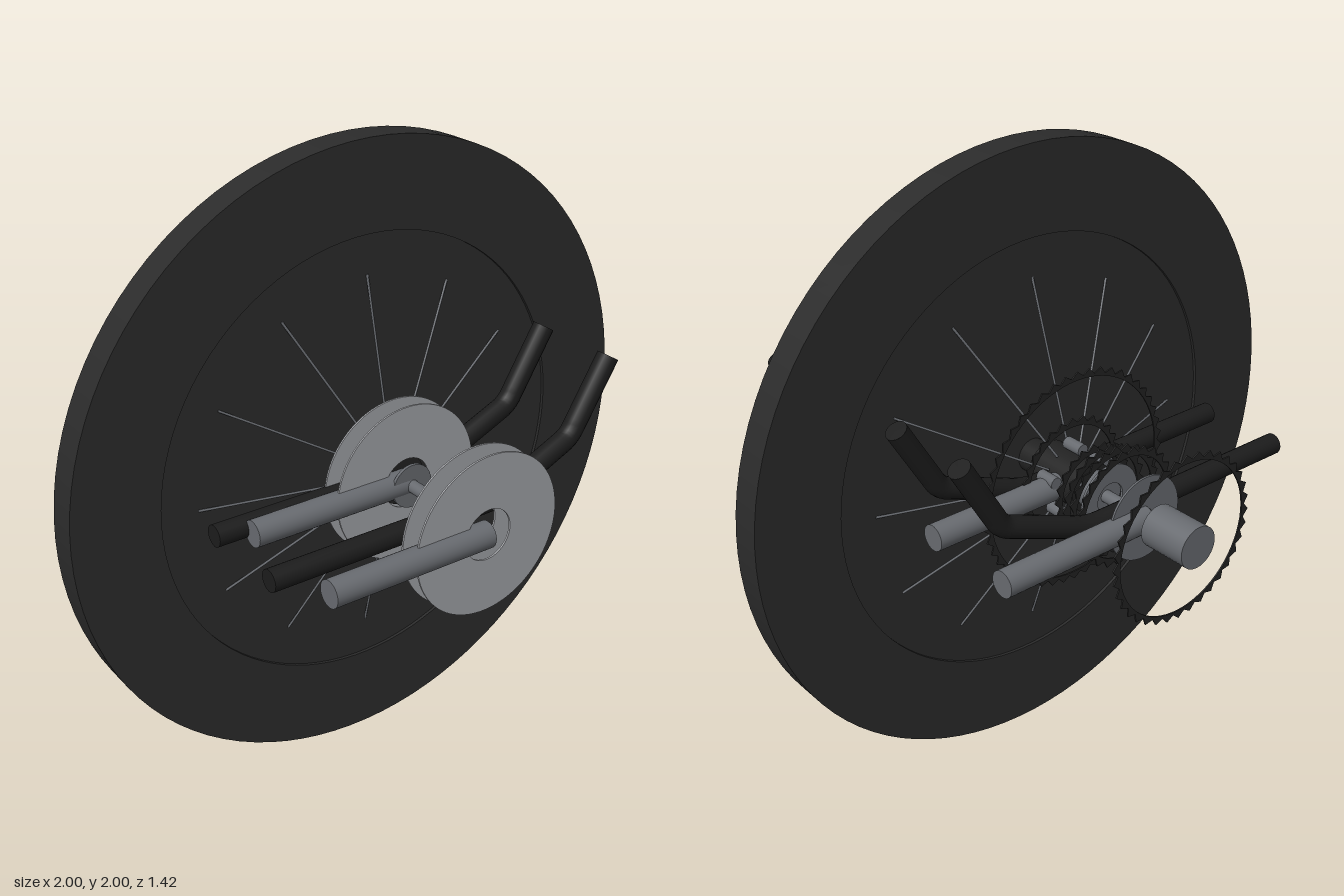
import * as THREE from 'three';

const mat = (name, color, side = THREE.FrontSide) => {
  const m = new THREE.MeshStandardMaterial({ color, side });
  m.name = name;
  return m;
};

export function createModel() {
  const root = new THREE.Group();
  root.name = 'explodedWheelAssembly';
  // everything is laid out around the axle line, which lies along z at y = 1
  const model = new THREE.Group();
  model.name = 'axleAssembly';
  model.position.y = 1;
  root.add(model);

  const rubber = mat('wheelRubber', 0x2b2b2b);
  const black = mat('blackTube', 0x1c1c1c);
  const steel = mat('steelGrey', 0x686b70);
  const silver = mat('discSilver', 0xa0a2a6);
  const dark = mat('darkSprocket', 0x222222);

  const add = (name, geo, material, x = 0, y = 0, z = 0) => {
    const mesh = new THREE.Mesh(geo, material);
    mesh.name = name;
    mesh.position.set(x, y, z);
    model.add(mesh);
    return mesh;
  };

  // cylinder along z between two z values
  const axial = (name, r, z0, z1, material, seg = 32, x = 0, y = 0) =>
    add(name, new THREE.CylinderGeometry(r, r, Math.abs(z1 - z0), seg).rotateX(Math.PI / 2),
      material, x, y, (z0 + z1) / 2);

  // flat ring with square edges, centred on z
  const ring = (name, r, hole, z, depth, material) => {
    const h = depth / 2;
    const profile = [[hole, -h], [r, -h], [r, -h], [r, h], [r, h], [hole, h], [hole, h], [hole, -h]];
    const geo = new THREE.LatheGeometry(profile.map(p => new THREE.Vector2(...p)), 96);
    return add(name, geo.rotateX(Math.PI / 2), material, 0, 0, z);
  };

  // thin toothed band
  const sprocket = (name, r, teeth, z, width = 0.03) => {
    const shape = new THREE.Shape();
    for (let i = 0; i < teeth * 2; i++) {
      const a = (i / teeth) * Math.PI;
      const q = i % 2 ? r - 0.018 : r;
      shape[i ? 'lineTo' : 'moveTo'](q * Math.cos(a), q * Math.sin(a));
    }
    shape.closePath();
    const hole = new THREE.Path();
    hole.absarc(0, 0, r - width, 0, Math.PI * 2, true);
    shape.holes.push(hole);
    const geo = new THREE.ExtrudeGeometry(shape, { depth: 0.005, bevelEnabled: false, curveSegments: 32 });
    return add(name, geo, dark, 0, 0, z - 0.0025);
  };

  // rod between two points
  const rod = (name, a, b, r, material) => {
    const d = b.clone().sub(a);
    const mesh = add(name, new THREE.CylinderGeometry(r, r, d.length(), 6), material);
    mesh.position.copy(a).add(b).multiplyScalar(0.5);
    mesh.quaternion.setFromUnitVectors(new THREE.Vector3(0, 1, 0), d.normalize());
  };

  // wheel: thick outer ring and a slightly recessed solid centre
  ring('tyre', 1, 0.72, 0.05, 0.1, rubber);
  axial('wheelDisc', 0.725, 0.01, 0.09, rubber, 96);

  // spokes on both faces, leaning in from the hub flanges
  for (let i = 0; i < 12; i++) {
    const a = (i * Math.PI) / 6;
    const at = (r, z) => new THREE.Vector3(r * Math.cos(a), r * Math.sin(a), z);
    rod('frontSpoke', at(0.09, 0.21), at(0.595, 0.09), 0.004, steel);
    rod('backSpoke', at(0.09, -0.16), at(0.595, 0.01), 0.004, steel);
  }

  // hub and axle
  axial('hubShell', 0.055, 0.2, -0.16, dark);
  axial('frontHubFlange', 0.08, 0.275, 0.19, dark);
  axial('backHubFlange', 0.08, -0.07, -0.27, dark);
  axial('frontAxle', 0.02, 0.28, 0.52, steel, 20);
  axial('backHubCap', 0.06, -0.27, -0.33, steel);
  axial('frontLockNut', 0.07, 0.315, 0.325, steel);
  axial('backAxle', 0.02, -0.32, -0.4, steel, 20);

  // two pairs of thin silver discs
  for (const z of [0.67, 0.605, 0.295, 0.23]) ring('brakeDisc', 0.25, 0.08, z, 0.006, silver);

  // chainrings and the stack of sprockets
  sprocket('largeChainring', 0.36, 48, -0.195, 0.027);
  sprocket('outerChainring', 0.27, 36, -0.648, 0.027);
  sprocket('innerChainring', 0.2, 28, -0.175);
  [[-0.27, 0.15], [-0.32, 0.165], [-0.365, 0.182], [-0.415, 0.195]]
    .forEach(([z, r], i) => sprocket('cassetteSprocket', r, 20 + i * 2, z));
  ring('cassetteSpacer', 0.11, 0.05, -0.345, 0.008, steel);
  ring('backDisc', 0.135, 0.03, -0.493, 0.007, steel);

  // chainring bolts
  for (let i = 0; i < 5; i++) {
    const a = Math.PI / 2 + (i * Math.PI * 2) / 5;
    axial('chainringBolt', 0.02, -0.155, -0.225, steel, 12, 0.11 * Math.cos(a), 0.11 * Math.sin(a));
  }

  // end cylinder at the back
  axial('backSpindle', 0.067, -0.55, -0.71, steel);

  // sideways grey tubes: front ones to the right, back ones to the left
  for (const [z, side] of [[0.668, -1], [0.29, -1], [-0.188, 1], [-0.498, 1]]) {
    add('sideTube', new THREE.CylinderGeometry(0.041, 0.041, 0.537, 32).rotateZ(Math.PI / 2),
      steel, side * 0.268, 0, z);
  }

  // bent black bars, each leaning slightly towards the wheel
  const bar = (z, lean) => {
    const v = (x, y, dz) => new THREE.Vector3(x, y, z + dz);
    const path = new THREE.CurvePath();
    path.add(new THREE.LineCurve3(v(-0.63, 0, 0), v(0.11, 0, 0)));
    path.add(new THREE.QuadraticBezierCurve3(v(0.11, 0, 0), v(0.17, 0, 0), v(0.23, 0.025, lean * 0.2)));
    path.add(new THREE.LineCurve3(v(0.23, 0.025, lean * 0.2), v(0.43, 0.095, lean * 0.9)));
    path.add(new THREE.QuadraticBezierCurve3(v(0.43, 0.095, lean * 0.9), v(0.46, 0.105, lean), v(0.478, 0.14, lean)));
    path.add(new THREE.LineCurve3(v(0.478, 0.14, lean), v(0.595, 0.335, lean)));
    add('bentBar', new THREE.TubeGeometry(path, 90, 0.034, 16), black);
    for (const t of [0, 1]) {
      const cap = add('barEnd', new THREE.CircleGeometry(0.034, 16), black);
      cap.position.copy(path.getPointAt(t));
      const out = path.getTangentAt(t).multiplyScalar(t ? 1 : -1);
      cap.quaternion.setFromUnitVectors(new THREE.Vector3(0, 0, 1), out);
    }
  };
  bar(0.523, -0.025);
  bar(0.238, -0.025);
  bar(-0.143, 0.027);
  bar(-0.428, 0.03);

  return root;
}
